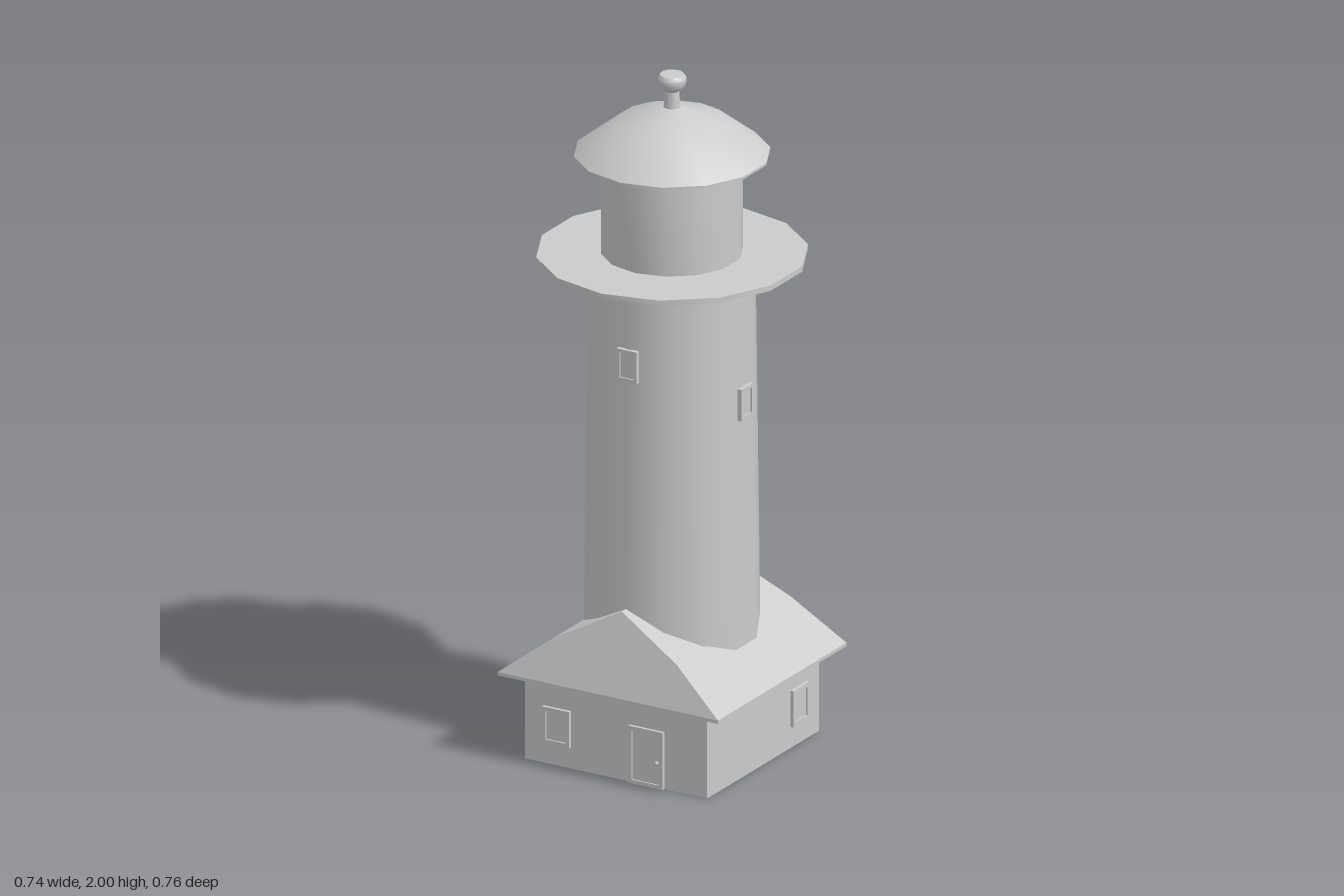
import * as THREE from 'three';
import { toCreasedNormals } from 'three/addons/utils/BufferGeometryUtils.js';

const SIDES = 14;
const grey = new THREE.MeshStandardMaterial({ color: 0xcccccc });
const greyThin = new THREE.MeshStandardMaterial({ color: 0xcccccc, side: THREE.DoubleSide });

function add(parent, name, geometry, material = grey) {
  const mesh = new THREE.Mesh(geometry, material);
  mesh.name = name;
  parent.add(mesh);
  return mesh;
}

// Turned part from [radius, height] points listed bottom to top
function turned(points) {
  const profile = points.map(([r, y]) => new THREE.Vector2(r, y));
  return toCreasedNormals(new THREE.LatheGeometry(profile, SIDES), 0.6);
}

// Rectangular ring in the xy plane, extruded along z
function rectRing(w, h, innerW, innerH, depth) {
  const rect = (path, a, b) => path.moveTo(-a / 2, -b / 2).lineTo(a / 2, -b / 2)
    .lineTo(a / 2, b / 2).lineTo(-a / 2, b / 2).closePath();
  const shape = rect(new THREE.Shape(), w, h);
  shape.holes.push(rect(new THREE.Path(), innerW, innerH));
  return new THREE.ExtrudeGeometry(shape, { depth, bevelEnabled: false });
}

// Raised frame around a recessed panel, facing +z
function framedPanel(name, w, h, border, depth) {
  const group = new THREE.Group();
  group.name = name;
  add(group, 'frame', rectRing(w, h, w - 2 * border, h - 2 * border, depth));
  const panel = add(group, 'panel', new THREE.BoxGeometry(w - border, h - border, depth * 0.6));
  panel.position.z = depth * 0.3;
  return group;
}

// Put a panel on one side: across runs to the right as seen from outside
function place(parent, panel, angle, across, y, out) {
  panel.rotation.y = angle;
  panel.position.set(
    Math.sin(angle) * out + Math.cos(angle) * across, y,
    Math.cos(angle) * out - Math.sin(angle) * across);
  parent.add(panel);
}

// Roof section: half width and height, eave to ridge
const EAVE = [0.357, 0.26], KINK = [0.2, 0.38], RIDGE = [0, 0.487];
const roofEnd = (y) => 0.345 - (y - 0.26) / 3;

function roofHeight(x) {
  const a = Math.abs(x);
  return a > KINK[0]
    ? THREE.MathUtils.mapLinear(a, KINK[0], EAVE[0], KINK[1], EAVE[1])
    : THREE.MathUtils.mapLinear(a, 0, KINK[0], RIDGE[1], KINK[1]);
}

function roofGeometry() {
  const section = [EAVE, KINK, RIDGE, [-KINK[0], KINK[1]], [-EAVE[0], EAVE[1]]];
  const front = section.map(([x, y]) => [x, y, roofEnd(y)]);
  const back = section.map(([x, y]) => [x, y, -roofEnd(y)]);
  const pos = [];
  const tri = (a, b, c) => pos.push(...a, ...b, ...c);
  for (let i = 0; i < 4; i++) {
    tri(front[i], back[i], back[i + 1]);
    tri(front[i], back[i + 1], front[i + 1]);
  }
  for (let i = 1; i < 4; i++) {
    tri(front[0], front[i], front[i + 1]);
    tri(back[0], back[i + 1], back[i]);
  }
  const geometry = new THREE.BufferGeometry();
  geometry.setAttribute('position', new THREE.Float32BufferAttribute(pos, 3));
  geometry.computeVertexNormals();
  return geometry;
}

function buildHouse() {
  const house = new THREE.Group();
  house.name = 'house';

  // Four walls, open above and below
  const walls = new THREE.BoxGeometry(0.59, 0.25, 0.6);
  const index = Array.from(walls.index.array);
  walls.setIndex([...index.slice(0, 12), ...index.slice(24)]);
  walls.clearGroups();
  walls.translate(0, 0.125, 0);
  add(house, 'walls', walls, greyThin);

  // Hipped roof with a flat eave
  add(house, 'roof', roofGeometry(), greyThin);
  const eave = rectRing(0.714, 0.69, 0.59, 0.6, 0.01);
  eave.rotateX(-Math.PI / 2).translate(0, 0.25, 0);
  add(house, 'eave', eave);

  // One window per wall: angle, offset, wall distance
  [[0, -0.19, 0.297], [Math.PI / 2, 0.19, 0.292], [Math.PI, -0.19, 0.297], [-Math.PI / 2, -0.19, 0.292]]
    .forEach(([angle, across, out]) =>
      place(house, framedPanel('houseWindow', 0.088, 0.108, 0.012, 0.013), angle, across, 0.117, out));

  // Front door and its knob
  const door = framedPanel('door', 0.112, 0.17, 0.011, 0.012);
  const knob = add(door, 'doorKnob', new THREE.SphereGeometry(0.006, 8, 6));
  knob.position.set(0.036, -0.01, 0.011);
  place(house, door, 0, 0.1, 0.085, 0.297);
  return house;
}

function buildTower() {
  const tower = new THREE.Group();
  tower.name = 'tower';

  // Tapered shaft whose foot follows the roof
  const shaft = new THREE.CylinderGeometry(0.234, 0.247, 1.09, SIDES, 1, true);
  shaft.translate(0, 0.885, 0);
  const p = shaft.attributes.position;
  for (let i = 0; i < p.count; i++) {
    if (p.getY(i) < 0.5) p.setY(i, roofHeight(p.getX(i)) - 0.01);
  }
  add(tower, 'shaft', shaft, greyThin);

  // Windows climbing around the shaft
  [[0, 1.21, 0.232], [Math.PI / 2, 1.07, 0.232], [Math.PI, 0.935, 0.235], [-Math.PI / 2, 0.8, 0.236]]
    .forEach(([angle, y, out]) =>
      place(tower, framedPanel('towerWindow', 0.066, 0.094, 0.01, 0.013), angle, 0, y, out));

  // Gallery, lantern room, domed cap and finial
  add(tower, 'gallery', turned([[0, 1.43], [0.234, 1.43], [0.38, 1.456], [0.38, 1.472], [0, 1.472]]));
  add(tower, 'lanternRoom', turned([[0.198, 1.47], [0.198, 1.765]]), greyThin);
  add(tower, 'cap', turned([[0, 1.76], [0.275, 1.76], [0.275, 1.767], [0.155, 1.86], [0.025, 1.902], [0, 1.904]]));
  add(tower, 'finial', turned([
    [0.024, 1.895], [0.02, 1.95], [0.036, 1.963], [0.041, 1.977], [0.041, 1.988], [0.034, 1.999], [0, 2]]));
  return tower;
}

export function createModel() {
  const model = new THREE.Group();
  model.name = 'lighthouse';
  model.add(buildHouse(), buildTower());
  return model;
}
